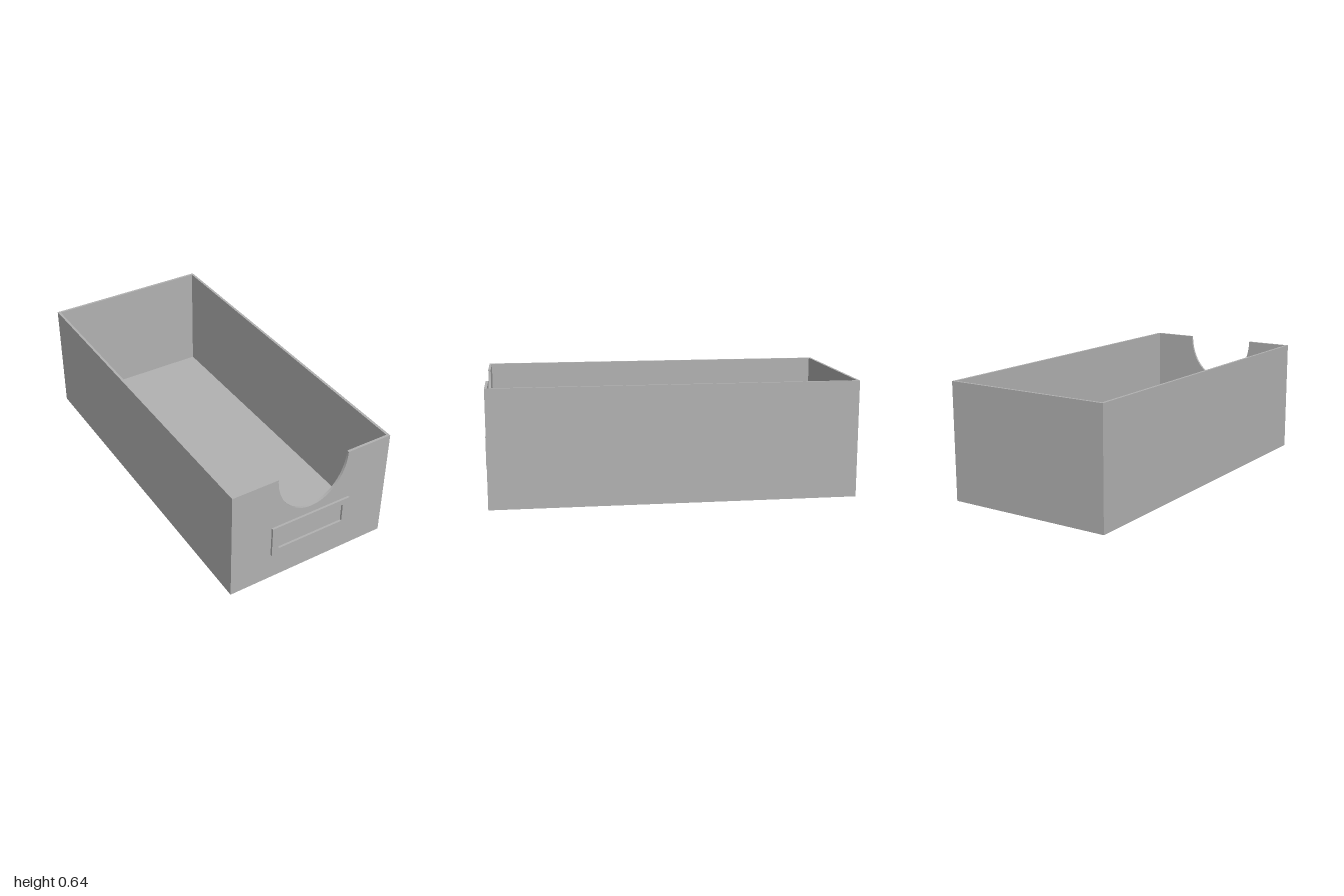
import * as THREE from 'three';

const W = 0.473, H = 0.643, BACK = -1, FRONT = 0.988, T = 0.014;

const grey = new THREE.MeshStandardMaterial({ color: 0xb2b2b2 });
grey.name = 'grey';

function part(name, geometry, x = 0, y = 0, z = 0) {
  const mesh = new THREE.Mesh(geometry, grey);
  mesh.name = name;
  mesh.position.set(x, y, z);
  return mesh;
}

const extrude = (shape, depth) =>
  new THREE.ExtrudeGeometry(shape, { depth, bevelEnabled: false, curveSegments: 32 });

// Rectangle with slightly rounded corners
function roundedRect(path, w, y0, y1, r) {
  path.moveTo(-w + r, y0);
  path.lineTo(w - r, y0);
  path.absarc(w - r, y0 + r, r, -Math.PI / 2, 0);
  path.lineTo(w, y1 - r);
  path.absarc(w - r, y1 - r, r, 0, Math.PI / 2);
  path.lineTo(-w + r, y1);
  path.absarc(-w + r, y1 - r, r, Math.PI / 2, Math.PI);
  path.lineTo(-w, y0 + r);
  path.absarc(-w + r, y0 + r, r, Math.PI, Math.PI * 1.5);
  return path;
}

export function createModel() {
  const box = new THREE.Group();
  box.name = 'openBox';
  const length = FRONT - BACK;
  const midZ = (FRONT + BACK) / 2;

  // Floor, side walls and back wall
  box.add(part('floor', new THREE.BoxGeometry(2 * (W - T), T, length - 2 * T), 0, T / 2, midZ));
  for (const s of [1, -1]) {
    box.add(part(s > 0 ? 'leftWall' : 'rightWall',
      new THREE.BoxGeometry(T, H, length - 2 * T), s * (W - T / 2), H / 2, midZ));
  }
  box.add(part('backWall', new THREE.BoxGeometry(2 * W, H, T), 0, H / 2, BACK + T / 2));

  // Front wall with a half-oval finger notch
  const front = new THREE.Shape();
  front.moveTo(-W, 0);
  front.lineTo(W, 0);
  front.lineTo(W, H);
  front.lineTo(0.21, H);
  front.absellipse(0, H, 0.21, 0.257, 0, Math.PI, true);
  front.lineTo(-W, H);
  front.closePath();
  box.add(part('frontWall', extrude(front, T), 0, 0, FRONT - T));

  // Label holder frame
  const frame = new THREE.Shape();
  frame.moveTo(-0.237, 0.163);
  frame.lineTo(0.237, 0.163);
  frame.lineTo(0.237, 0.343);
  frame.lineTo(-0.237, 0.343);
  frame.closePath();
  frame.holes.push(roundedRect(new THREE.Path(), 0.197, 0.197, 0.31, 0.004));
  box.add(part('labelFrame', extrude(frame, 1 - FRONT), 0, 0, FRONT));

  return box;
}
